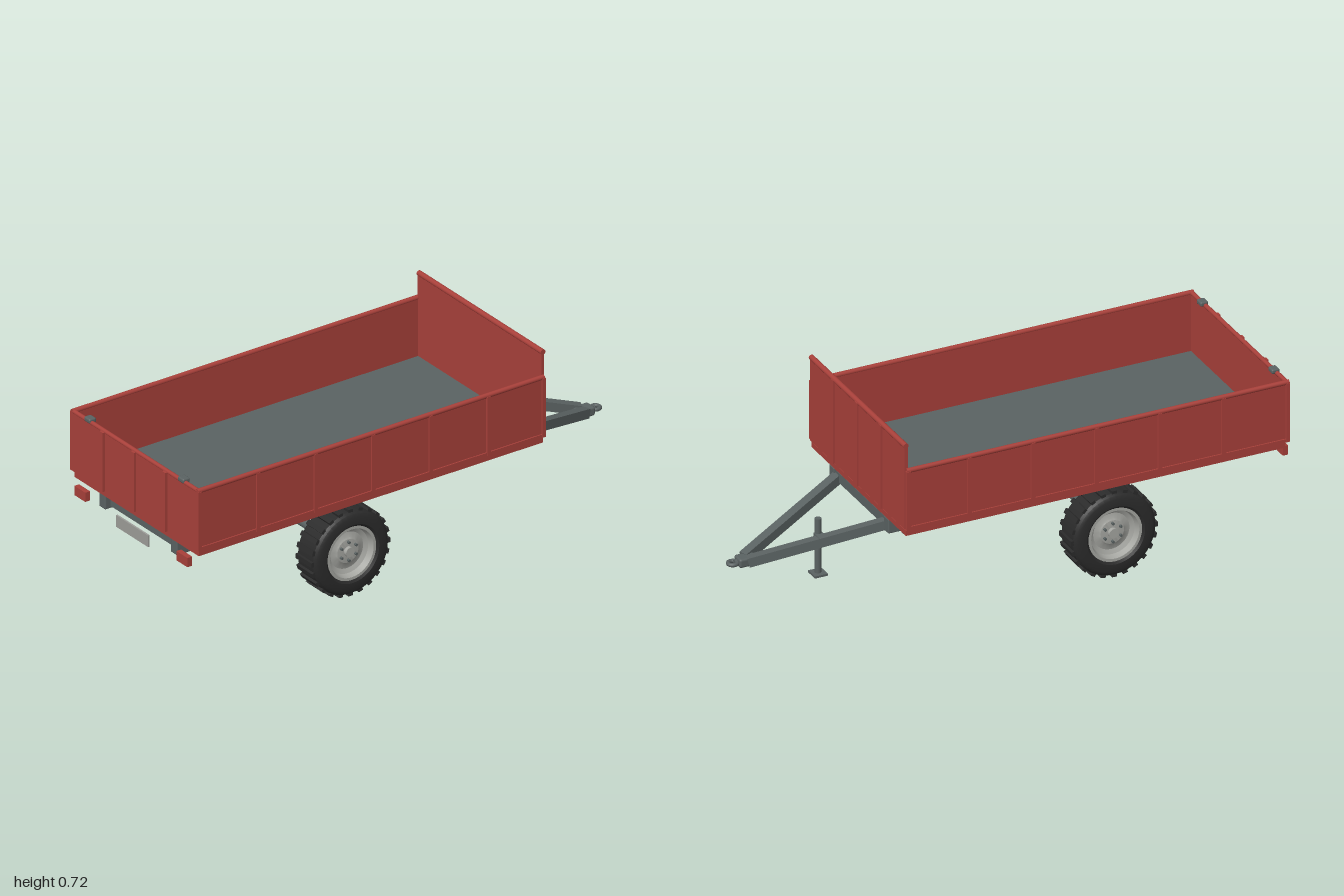
import * as THREE from 'three';
import { toCreasedNormals } from 'three/addons/utils/BufferGeometryUtils.js';
import { RoundedBoxGeometry } from 'three/addons/geometries/RoundedBoxGeometry.js';

const mat = (name, color) => new THREE.MeshStandardMaterial({ name, color });
const red = mat('red paint', 0xa8403a);
const steel = mat('grey steel', 0x5a6262);
const rubber = mat('black rubber', 0x2b2b2b);
const silver = mat('silver rim', 0xa6a7a2);
const plateGrey = mat('plate grey', 0x9c9c98);

export function createModel() {
  const model = new THREE.Group();
  model.name = 'trailer';

  const add = (name, geo, m, x = 0, y = 0, z = 0, parent = model) => {
    const mesh = new THREE.Mesh(geo, m);
    mesh.name = name;
    mesh.position.set(x, y, z);
    parent.add(mesh);
    return mesh;
  };
  // Box given by its minimum and maximum on each axis
  const box = (name, m, x0, x1, y0, y1, z0, z1, parent) =>
    add(name, new THREE.BoxGeometry(x1 - x0, y1 - y0, z1 - z0), m,
      (x0 + x1) / 2, (y0 + y1) / 2, (z0 + z1) / 2, parent);
  // Round bar along one axis
  const rod = (name, m, r, length, axis, x, y, z, parent) => {
    const geo = new THREE.CylinderGeometry(r, r, length, 20);
    if (axis === 'x') geo.rotateZ(Math.PI / 2);
    if (axis === 'z') geo.rotateX(Math.PI / 2);
    return add(name, geo, m, x, y, z, parent);
  };

  // Platform and floor
  box('platform', red, -0.975, 0.49, 0.358, 0.378, -0.367, 0.367);
  box('floor', steel, -0.975, 0.485, 0.384, 0.39, -0.365, 0.365);

  // Side walls with ribs and top rails
  for (const s of [1, -1]) {
    const side = new THREE.Group();
    side.name = s > 0 ? 'frontSideWall' : 'backSideWall';
    model.add(side);
    add('sidePanel', new THREE.BoxGeometry(1.475, 0.23, 0.012), red, -0.2475, 0.5, s * 0.368, side);
    rod('sideTopRail', red, 0.009, 1.475, 'x', -0.2475, 0.614, s * 0.37, side);
    add('sideBottomRail', new THREE.BoxGeometry(1.475, 0.012, 0.01), red, -0.2475, 0.391, s * 0.374, side);
    for (let i = -1; i < 6; i++) {
      const x = i < 0 ? -0.978 : i === 5 ? 0.485 : -0.73 + i * 0.245;
      add('sideRib', new THREE.BoxGeometry(0.015, 0.228, 0.012), red, x, 0.499, s * 0.375, side);
    }
  }

  // Headboard and tailgate
  box('headboard', red, 0.483, 0.495, 0.385, 0.711, -0.367, 0.367);
  rod('headboardRail', red, 0.01, 0.734, 'z', 0.49, 0.709, 0);
  box('tailgate', red, -0.985, -0.972, 0.385, 0.614, -0.367, 0.367);
  rod('tailgateRail', red, 0.008, 0.734, 'z', -0.978, 0.614, 0);
  for (const z of [-0.185, 0, 0.185]) {
    box('headboardRib', red, 0.49, 0.502, 0.385, 0.71, z - 0.01, z + 0.01);
    box('tailgateRib', red, -0.994, -0.98, 0.385, 0.615, z - 0.01, z + 0.01);
  }

  // Tailgate latches, tail lights and rear plate
  for (const s of [1, -1]) {
    add('latch', new RoundedBoxGeometry(0.03, 0.018, 0.035, 2, 0.006), steel, -0.974, 0.62, s * 0.277);
    add('tailLight', new THREE.BoxGeometry(0.02, 0.036, 0.065), red, -0.99, 0.327, s * 0.302);
  }
  box('rearPlate', plateGrey, -0.995, -0.988, 0.285, 0.33, -0.095, 0.095);

  // Chassis
  for (const s of [1, -1]) {
    add('chassisRail', new RoundedBoxGeometry(1.46, 0.057, 0.038, 2, 0.005), steel, -0.24, 0.329, s * 0.212);
    add('axleBracket', new THREE.BoxGeometry(0.06, 0.115, 0.045), steel, -0.32, 0.218, s * 0.212);
  }
  for (const x of [0.465, -0.07, -0.93])
    add('crossbeam', new THREE.BoxGeometry(0.035, 0.038, 0.4), steel, x, 0.329, 0);
  rod('tippingCylinder', steel, 0.022, 0.204, 'y', 0.3, 0.257, 0);
  rod('axle', steel, 0.018, 0.56, 'z', -0.32, 0.172, 0);

  // Wheels
  const lathe = (pts) => toCreasedNormals(
    new THREE.LatheGeometry(pts.map(p => new THREE.Vector2(...p)), 40).rotateX(Math.PI / 2), 0.5);
  const tyreGeo = lathe([[0.1, -0.05], [0.112, -0.06], [0.14, -0.06], [0.152, -0.054], [0.159, -0.044],
    [0.159, 0.044], [0.152, 0.054], [0.14, 0.06], [0.112, 0.06], [0.1, 0.05], [0.1, -0.05]]);
  const rimGeo = lathe([[0, 0], [0.07, 0], [0.086, -0.015], [0.092, -0.053], [0.104, -0.053],
    [0.104, 0.053], [0.093, 0.053], [0.086, 0.03], [0.07, 0.022], [0.05, 0.026], [0.045, 0.03], [0, 0.03]]);
  const lugGeo = new THREE.BoxGeometry(0.018, 0.012, 0.093);
  for (const s of [1, -1]) {
    const wheel = new THREE.Group();
    wheel.name = s > 0 ? 'frontWheel' : 'backWheel';
    wheel.position.set(-0.32, 0.169, s * 0.309);
    if (s < 0) wheel.rotation.y = Math.PI;
    model.add(wheel);
    add('tyre', tyreGeo, rubber, 0, 0, 0, wheel);
    add('rim', rimGeo, silver, 0, 0, 0, wheel);
    rod('hub', silver, 0.018, 0.02, 'z', 0, 0, 0.034, wheel);
    for (let i = 0; i < 24; i++) {
      const a = i / 24 * Math.PI * 2;
      const lug = add('treadLug', lugGeo, rubber, Math.sin(a) * 0.162, Math.cos(a) * 0.162, 0, wheel);
      lug.rotation.z = -a;
    }
    for (let i = 0; i < 6; i++) {
      const a = (i + 0.5) / 6 * Math.PI * 2;
      rod('wheelNut', steel, 0.005, 0.012, 'z', Math.cos(a) * 0.035, Math.sin(a) * 0.035, 0.034, wheel);
    }
  }

  // Drawbar and towing eye
  for (const s of [1, -1]) {
    const a = new THREE.Vector3(0.465, 0.325, s * 0.193);
    const b = new THREE.Vector3(0.925, 0.196, s * 0.017);
    const beam = add('drawbarBeam', new THREE.BoxGeometry(0.033, 0.035, a.distanceTo(b)), steel);
    beam.position.copy(a).lerp(b, 0.5);
    beam.lookAt(b);
  }
  add('coupler', new RoundedBoxGeometry(0.07, 0.034, 0.05, 2, 0.008), steel, 0.925, 0.194, 0);
  rod('couplerShank', steel, 0.011, 0.03, 'x', 0.955, 0.193, 0);
  add('towingEye', new THREE.TorusGeometry(0.0165, 0.0075, 10, 24).rotateX(Math.PI / 2), steel, 0.976, 0.193, 0);

  // Parking jack
  rod('jackLeg', steel, 0.012, 0.212, 'y', 0.685, 0.23, -0.076);
  add('jackFoot', new THREE.BoxGeometry(0.05, 0.008, 0.053), steel, 0.685, 0.122, -0.077);
  box('jackClamp', steel, 0.67, 0.7, 0.245, 0.28, -0.115, -0.07);

  return model;
}
